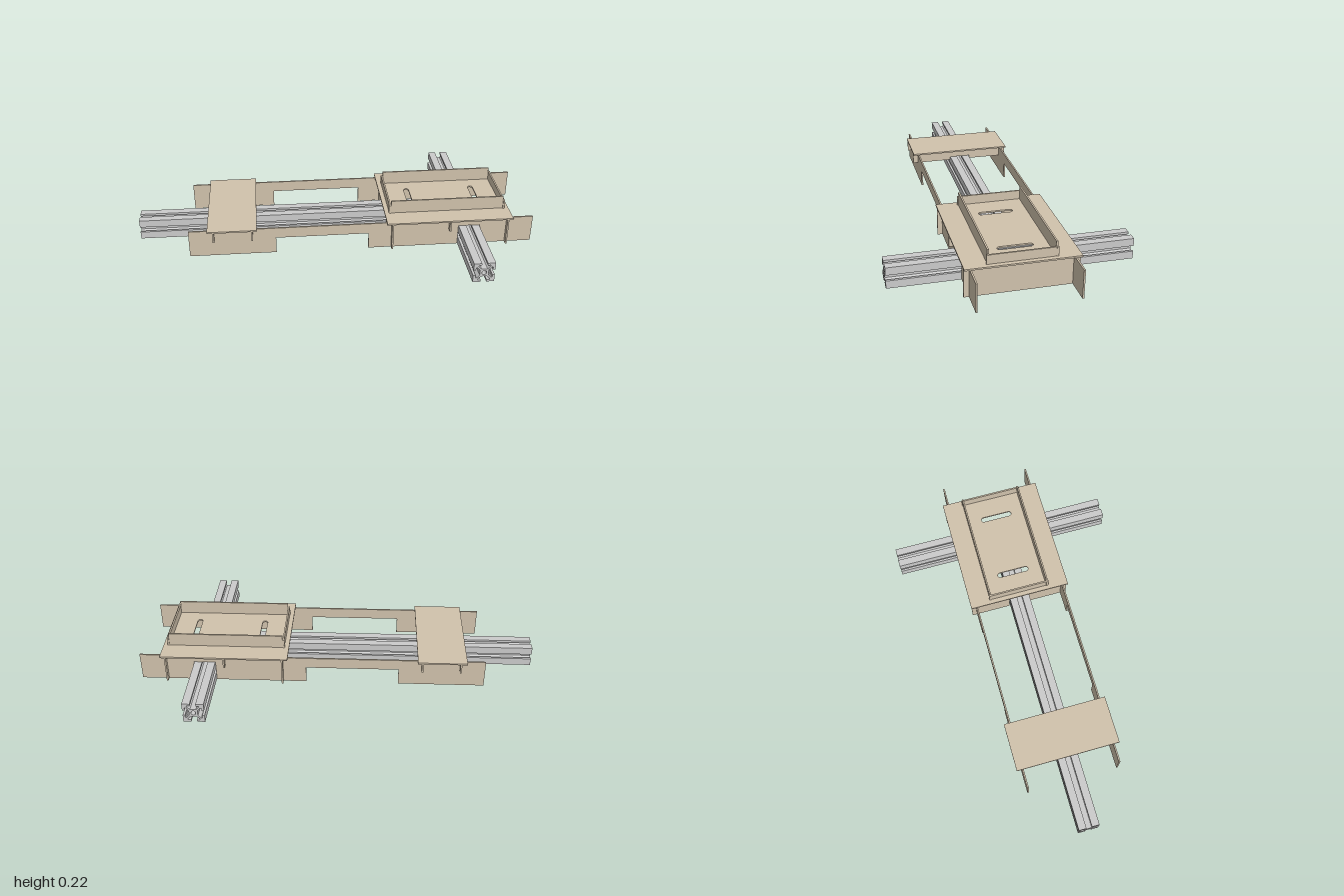
import * as THREE from 'three';

const T = 0.008; // sheet thickness
const wood = new THREE.MeshStandardMaterial({ color: 0xd0c2ac });
const metal = new THREE.MeshStandardMaterial({ color: 0xcccccc });

const outline = (pts) => new THREE.Shape(pts.map(([a, b]) => new THREE.Vector2(a, b)));
const rect = (a0, b0, a1, b1) => [[a0, b0], [a1, b0], [a1, b1], [a0, b1]];

// Flat sheet cut from a shape, centred on its thickness and facing x, y or z
function sheet(name, shape, axis, at, thickness = T, material = wood) {
  const g = new THREE.ExtrudeGeometry(shape, { depth: thickness, bevelEnabled: false, curveSegments: 10 });
  g.translate(0, 0, -thickness / 2);
  if (axis === 'x') g.rotateY(-Math.PI / 2); // shape is (z, y)
  if (axis === 'y') g.rotateX(Math.PI / 2); // shape is (x, z)
  const m = new THREE.Mesh(g, material);
  m.name = name;
  m.position[axis] = at;
  return m;
}

// Slotted square rail section standing on the ground
function railShape(h) {
  const side = [[1, -1], [1, -0.27], [0.78, -0.27], [0.78, -0.56], [0.68, -0.56], [0.4, -0.27],
    [0.4, 0.27], [0.68, 0.56], [0.78, 0.56], [0.78, 0.27], [1, 0.27]];
  const pts = [];
  for (let i = 0; i < 4; i++) {
    const c = Math.round(Math.cos(i * Math.PI / 2)), s = Math.round(Math.sin(i * Math.PI / 2));
    for (const [x, y] of side) pts.push([h * (x * c - y * s), h * (x * s + y * c) + h]);
  }
  const shape = outline(pts);
  shape.holes.push(new THREE.Path().absarc(0, h, 0.22 * h, 0, Math.PI * 2, true));
  return shape;
}

// Rounded slot running along z
function slot(x, halfLength, r) {
  const p = new THREE.Path();
  p.absarc(x, halfLength - r, r, 0, Math.PI, false);
  p.absarc(x, -halfLength + r, r, Math.PI, Math.PI * 2, false);
  p.closePath();
  return p;
}

export function createModel() {
  const model = new THREE.Group();
  const H = 0.142, railHalf = 0.0525;

  // Rails: a long one along x butting against a cross one along z
  model.add(sheet('longRail', railShape(railHalf), 'x', -0.19, 1.62, metal));
  const cross = sheet('crossRail', railShape(railHalf), 'z', 0, 1.16, metal);
  cross.position.x = 0.672;
  model.add(cross);

  // Long side plates, notched from below
  const sidePlate = outline([
    [-0.738, 0], [-0.305, 0], [-0.305, 0.086], [0.16, 0.086], [0.16, 0], [0.618, 0],
    [0.618, 0.106], [0.726, 0.106], [0.726, 0], [1, 0], [1, H], [-0.738, H],
  ]);
  for (const s of [1, -1]) model.add(sheet(s > 0 ? 'frontSidePlate' : 'backSidePlate', sidePlate, 'z', s * 0.236));

  // Full-height cross walls; the inner one straddles the long rail
  const innerWall = outline([
    [-0.264, 0], [-0.056, 0], [-0.056, 0.107], [0.056, 0.107], [0.056, 0], [0.264, 0], [0.264, H], [-0.264, H],
  ]);
  model.add(sheet('innerCrossWall', innerWall, 'x', 0.28));
  model.add(sheet('outerCrossWall', outline(rect(-0.264, 0, 0.264, H)), 'x', 0.868));

  // Shallow ribs with lower tabs at both ends
  const rib = outline([
    [-0.264, 0.09], [-0.056, 0.09], [-0.056, 0.107], [0.056, 0.107], [0.056, 0.09], [0.266, 0.09], [0.266, H], [-0.264, H],
  ]);
  for (const x of [-0.615, -0.424, 0.573]) model.add(sheet('crossRib', rib, 'x', x));

  // Top plates
  const topY = H + T / 2;
  model.add(sheet('smallTopPlate', outline(rect(-0.645, -0.267, -0.4, 0.265)), 'y', topY));
  const bigTop = outline(rect(0.252, -0.267, 0.893, 0.265));
  bigTop.holes.push(slot(0.399, 0.084, 0.0135), slot(0.746, 0.084, 0.0135));
  model.add(sheet('slottedTopPlate', bigTop, 'y', topY));

  // Open tray: tall long walls, lower end walls
  const y0 = H + T, yEnd = 0.195, yLong = 0.218;
  const longWall = outline([
    [0.273, y0], [0.873, y0], [0.873, yEnd], [0.862, yEnd], [0.862, yLong],
    [0.284, yLong], [0.284, yEnd], [0.273, yEnd],
  ]);
  for (const z of [-0.156, 0.154]) model.add(sheet('trayLongWall', longWall, 'z', z));
  for (const x of [0.279, 0.867]) model.add(sheet('trayEndWall', outline(rect(-0.163, y0, 0.163, yEnd)), 'x', x));

  return model;
}
